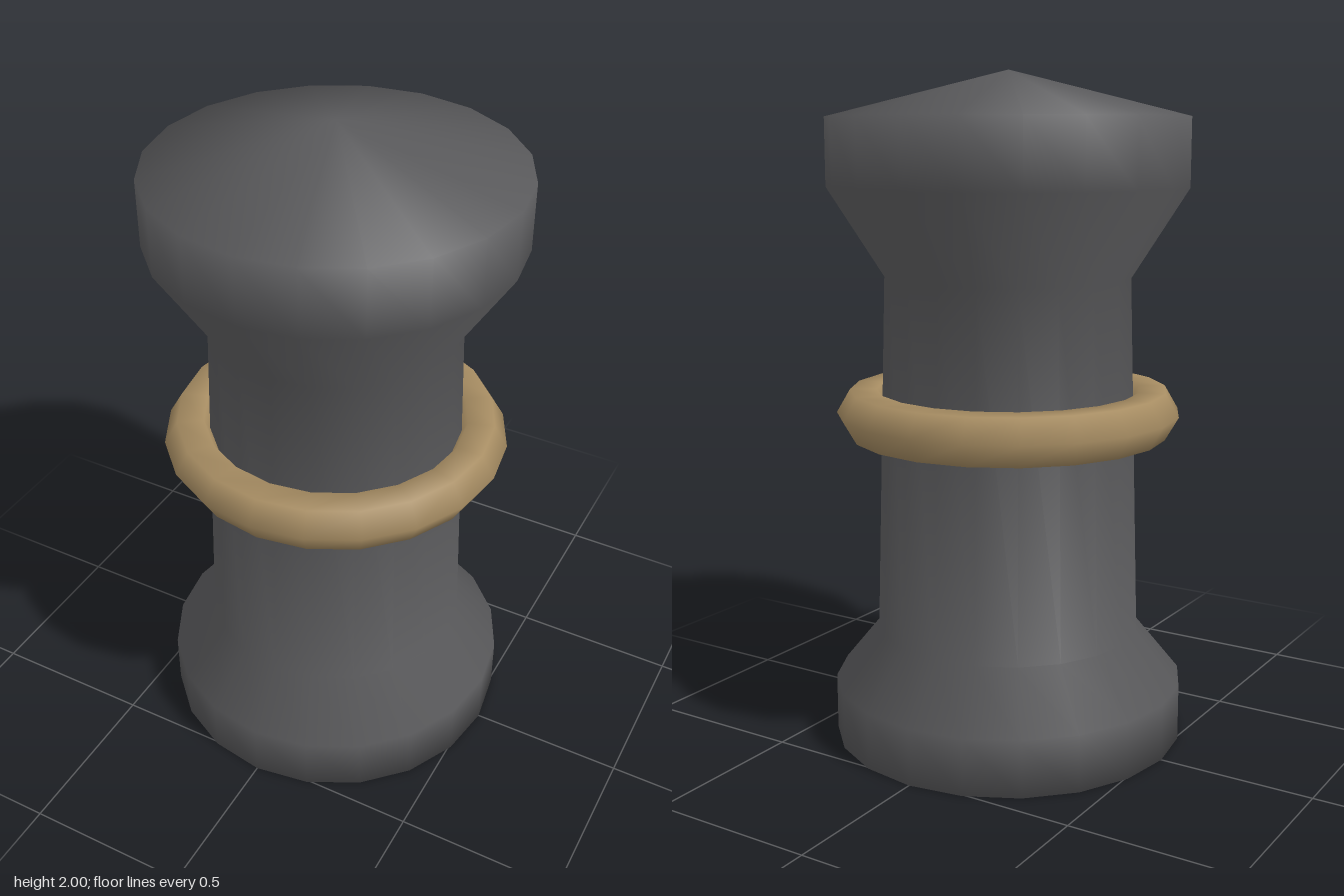
import * as THREE from 'three';

const SIDES = 20;

// Turned solid whose normals blend evenly across every profile corner
function turned(points) {
  const pts = points.map(([x, y]) => new THREE.Vector2(x, y));
  const geo = new THREE.LatheGeometry(pts, SIDES);
  const edge = i => new THREE.Vector2(pts[i + 1].y - pts[i].y, pts[i].x - pts[i + 1].x).normalize();
  const last = pts.length - 1;
  const profile = pts.map((p, i) => {
    if (p.x === 0) return new THREE.Vector2(0, i === 0 ? -1 : 1);
    return edge(i - 1).add(edge(Math.min(i, last - 1))).normalize();
  });
  const normal = geo.attributes.normal;
  for (let s = 0; s <= SIDES; s++) {
    const a = (s / SIDES) * Math.PI * 2;
    profile.forEach((n, i) =>
      normal.setXYZ(s * pts.length + i, n.x * Math.sin(a), n.y, n.x * Math.cos(a)));
  }
  return geo;
}

export function createModel() {
  const group = new THREE.Group();
  group.name = 'bollard';

  const iron = new THREE.MeshStandardMaterial({ color: 0x5a5a5c });
  iron.name = 'dark iron';
  const rope = new THREE.MeshStandardMaterial({ color: 0xa68c62 });
  rope.name = 'tan rope';

  // Post: flared foot, tapering shaft, flared head with a shallow cone top
  const post = new THREE.Mesh(turned([
    [0, 0], [0.533, 0], [0.533, 0.17], [0.4, 0.333],
    [0.367, 1.405], [0.533, 1.667], [0.533, 1.867], [0, 2],
  ]), iron);
  post.name = 'post';
  group.add(post);

  // Six-sided rope ring around the shaft
  const ring = new THREE.Mesh(new THREE.TorusGeometry(0.435, 0.08, 6, SIDES), rope);
  ring.name = 'ropeRing';
  ring.rotation.x = Math.PI / 2;
  ring.position.y = 1;
  group.add(ring);

  return group;
}
